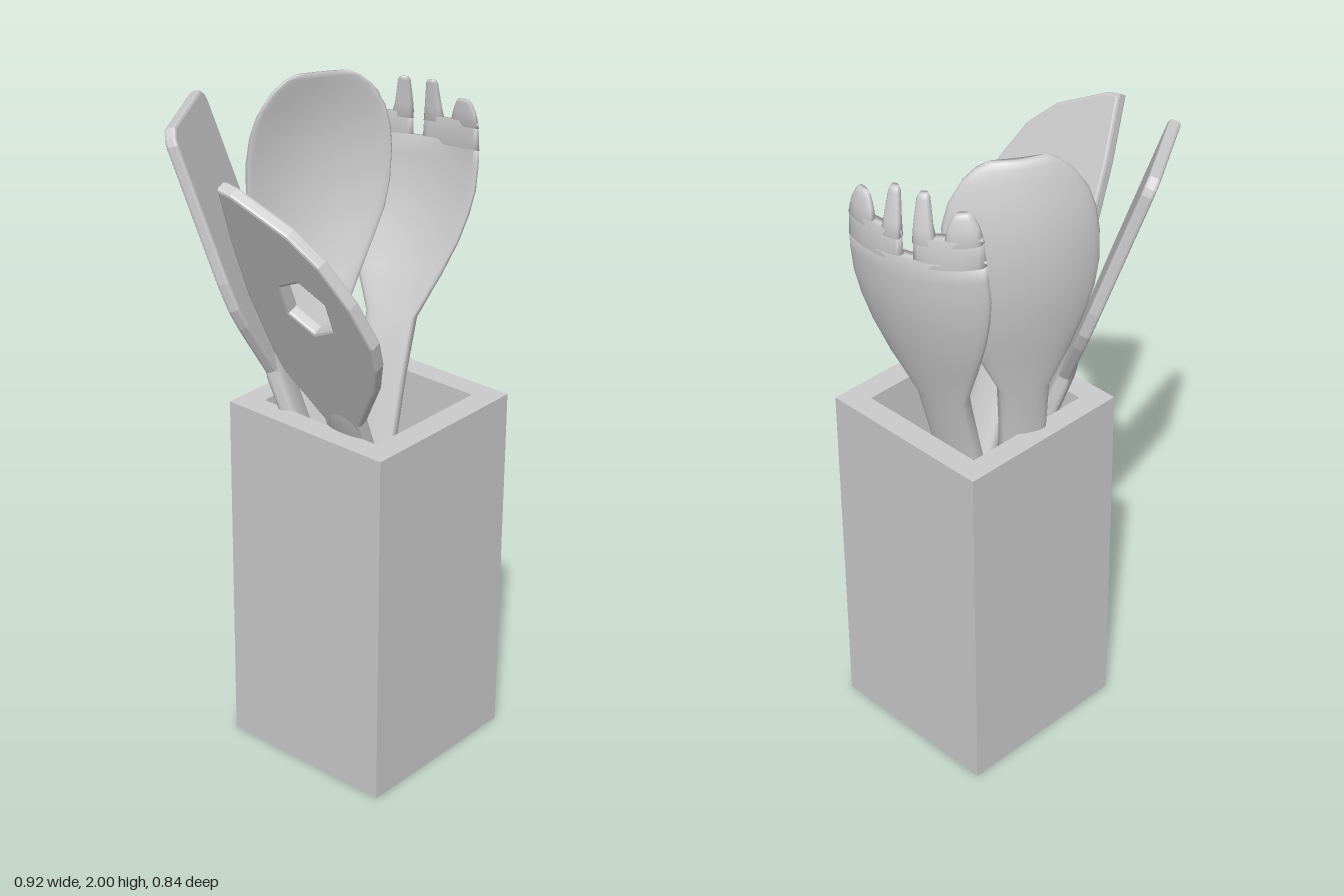
import * as THREE from 'three';

const MAT = new THREE.MeshStandardMaterial({ color: 0xcccccc });
const RIM = 1.105; // height of the holder

const addMesh = (parent, name, geometry) => {
  const mesh = new THREE.Mesh(geometry, MAT);
  mesh.name = name;
  parent.add(mesh);
};

// Leaning frame: local x = blade width, y = height, z = blade normal.
// (x, z) is where the handle passes the rim; (dx, dz) is its lean per unit of height.
function leanFrame(x, z, dx, dz, width) {
  const up = new THREE.Vector3(dx, 1, dz);
  const normal = width.clone().cross(up).normalize();
  return new THREE.Matrix4().makeBasis(width, up, normal)
    .setPosition(x - RIM * dx, 0, z - RIM * dz);
}

// Closed loft through sections [height, left, right, half thickness];
// offset(w, y) bends the blade along its normal.
function loft(sections, offset = () => 0, n = 20) {
  const pos = [], idx = [];
  for (const [y, l, r, t] of sections) {
    for (let j = 0; j < n; j++) {
      const a = (j / n) * Math.PI * 2, s = Math.sin(a);
      const w = (l + r) / 2 + ((r - l) / 2) * Math.cos(a);
      pos.push(w, y, offset(w, y) + t * Math.sign(s) * Math.abs(s) ** 0.5);
    }
  }
  const last = sections.length - 1;
  for (let i = 0; i < last; i++) {
    for (let j = 0; j < n; j++) {
      const a = i * n + j, b = i * n + (j + 1) % n;
      idx.push(a, a + n, b, b, a + n, b + n);
    }
  }
  // End caps
  for (const i of [0, last]) {
    const [y, l, r] = sections[i], c = pos.length / 3, w = (l + r) / 2;
    pos.push(w, y, offset(w, y));
    for (let j = 0; j < n; j++) {
      const a = i * n + j, b = i * n + (j + 1) % n;
      if (i === 0) idx.push(c, a, b); else idx.push(c, b, a);
    }
  }
  const g = new THREE.BufferGeometry();
  g.setAttribute('position', new THREE.Float32BufferAttribute(pos, 3));
  g.setIndex(idx);
  g.computeVertexNormals();
  return g;
}

const symmetric = rows => rows.map(([y, h, t]) => [y, -h, h, t]);

// Flat bevelled blade from an outline
function flatBlade(points, thickness, hole) {
  const shape = new THREE.Shape(points.map(p => new THREE.Vector2(...p)));
  if (hole) shape.holes.push(new THREE.Path(hole));
  const b = 0.008, depth = thickness - 2 * b;
  return new THREE.ExtrudeGeometry(shape, {
    depth, bevelThickness: b, bevelSize: b, bevelOffset: -b, bevelSegments: 2,
  }).translate(0, 0, -depth / 2);
}

// Scooped head: sides curl forward, middle dips back, tip bends forward
const scoop = tip => (w, y) => {
  const t = THREE.MathUtils.clamp((y - 1.25) / 0.75, 0, 1);
  return 0.05 * (w / 0.2) ** 2 + tip * t ** 4 - 0.03 * Math.sin(Math.PI * t);
};

function holder() {
  const group = new THREE.Group();
  group.name = 'holder';
  const square = (Type, x, z, h) => new Type([[-h, -h], [h, -h], [h, h], [-h, h]]
    .map(([a, b]) => new THREE.Vector2(x + a, -z + b)));
  const shape = square(THREE.Shape, 0.082, 0.098, 0.28);
  shape.holes.push(square(THREE.Path, 0.083, 0.095, 0.209));
  addMesh(group, 'holderWalls',
    new THREE.ExtrudeGeometry(shape, { depth: RIM, bevelEnabled: false }).rotateX(-Math.PI / 2));
  addMesh(group, 'holderFloor', new THREE.BoxGeometry(0.43, 0.08, 0.43).translate(0.083, 0.04, 0.095));
  return group;
}

function utensil(name, frame, parts) {
  const group = new THREE.Group();
  group.name = name;
  for (const [part, geometry] of Object.entries(parts)) {
    addMesh(group, part, geometry.applyMatrix4(frame));
  }
  return group;
}

const bar = (bottom, top) => loft(symmetric([
  [bottom, 0.055, 0.02], [bottom + 0.02, 0.066, 0.028], [top - 0.1, 0.066, 0.028], [top, 0.06, 0.012],
]));

function slottedTurner() {
  const outline = [
    [-0.066, 1.05], [0.066, 1.05], [0.066, 1.16], [0.16, 1.32], [0.196, 1.42], [0.205, 1.5],
    [0.165, 1.62], [0.095, 1.73], [0.01, 1.8], [-0.155, 1.87], [-0.2, 1.875], [-0.215, 1.7],
    [-0.217, 1.52], [-0.19, 1.32], [-0.17, 1.26], [-0.07, 1.13],
  ];
  const hole = [];
  for (let k = 0; k < 6; k++) {
    const a = Math.PI / 6 - k * Math.PI / 3;
    hole.push(new THREE.Vector2(0.085 * Math.cos(a), 1.557 + 0.085 * Math.sin(a)));
  }
  const width = new THREE.Vector3(0.03, -0.06, 1).normalize();
  return utensil('slottedTurner', leanFrame(-0.105, 0.188, -0.44, 0.075, width), {
    turnerHead: flatBlade(outline, 0.038, hole),
    turnerHandle: bar(0.2, 1.22),
  });
}

function spatula() {
  const half = [
    [0.066, 1.05], [0.066, 1.22], [0.16, 1.39], [0.185, 1.45], [0.194, 1.53],
    [0.19, 1.91], [0.183, 1.93], [0.155, 1.95],
  ];
  const outline = [...half, ...half.map(([w, y]) => [-w, y]).reverse()];
  const width = new THREE.Vector3(0.85, 0, -0.53).normalize();
  return utensil('spatula', leanFrame(-0.08, -0.06, -0.17, -0.3, width), {
    spatulaHead: flatBlade(outline, 0.034),
    spatulaHandle: bar(0.12, 1.3),
  });
}

function spoon() {
  const width = new THREE.Vector3(0.855, 0, 0.52).normalize();
  return utensil('spoon', leanFrame(0.088, -0.1, 0.12, -0.13, width), {
    spoonBody: loft(symmetric([
      [0.12, 0.055, 0.02], [0.15, 0.066, 0.03], [1.1, 0.066, 0.03], [1.27, 0.073, 0.026],
      [1.4, 0.13, 0.02], [1.5, 0.17, 0.017], [1.58, 0.198, 0.016], [1.66, 0.212, 0.016],
      [1.75, 0.214, 0.016], [1.82, 0.206, 0.016], [1.88, 0.187, 0.015], [1.94, 0.147, 0.014],
      [1.97, 0.11, 0.013], [1.985, 0.078, 0.01],
    ]), scoop(0.09), 28),
  });
}

function fork() {
  const bend = scoop(0.12), parts = {};
  parts.forkBody = loft(symmetric([
    [0.12, 0.055, 0.02], [0.15, 0.07, 0.03], [1.1, 0.07, 0.03], [1.27, 0.076, 0.026],
    [1.4, 0.132, 0.02], [1.5, 0.17, 0.017], [1.58, 0.192, 0.016], [1.65, 0.204, 0.016],
    [1.72, 0.204, 0.016], [1.775, 0.201, 0.016],
  ]), bend, 28);
  // Shoulders and tines, mirrored about the middle slot
  for (const [side, m] of [['left', 1], ['right', -1]]) {
    const piece = rows => loft(rows.map(([y, a, b, t]) =>
      [y, Math.min(a * m, b * m), Math.max(a * m, b * m), t]), bend);
    parts[side + 'Shoulder'] = piece([[1.76, 0.014, 0.202, 0.016], [1.835, 0.016, 0.194, 0.016]]);
    parts[side + 'InnerTine'] = piece([
      [1.82, 0.016, 0.08, 0.016], [1.86, 0.019, 0.069, 0.015], [1.925, 0.025, 0.058, 0.013], [1.935, 0.03, 0.053, 0.009],
    ]);
    parts[side + 'OuterTine'] = piece([
      [1.82, 0.1, 0.196, 0.016], [1.86, 0.108, 0.184, 0.015], [1.885, 0.118, 0.17, 0.013], [1.895, 0.126, 0.16, 0.009],
    ]);
  }
  const width = new THREE.Vector3(0.316, 0, 0.95).normalize();
  return utensil('fork', leanFrame(0.25, 0.01, 0.26, -0.04, width), parts);
}

export function createModel() {
  const model = new THREE.Group();
  model.name = 'utensilHolder';
  model.add(holder(), slottedTurner(), spatula(), spoon(), fork());
  return model;
}
